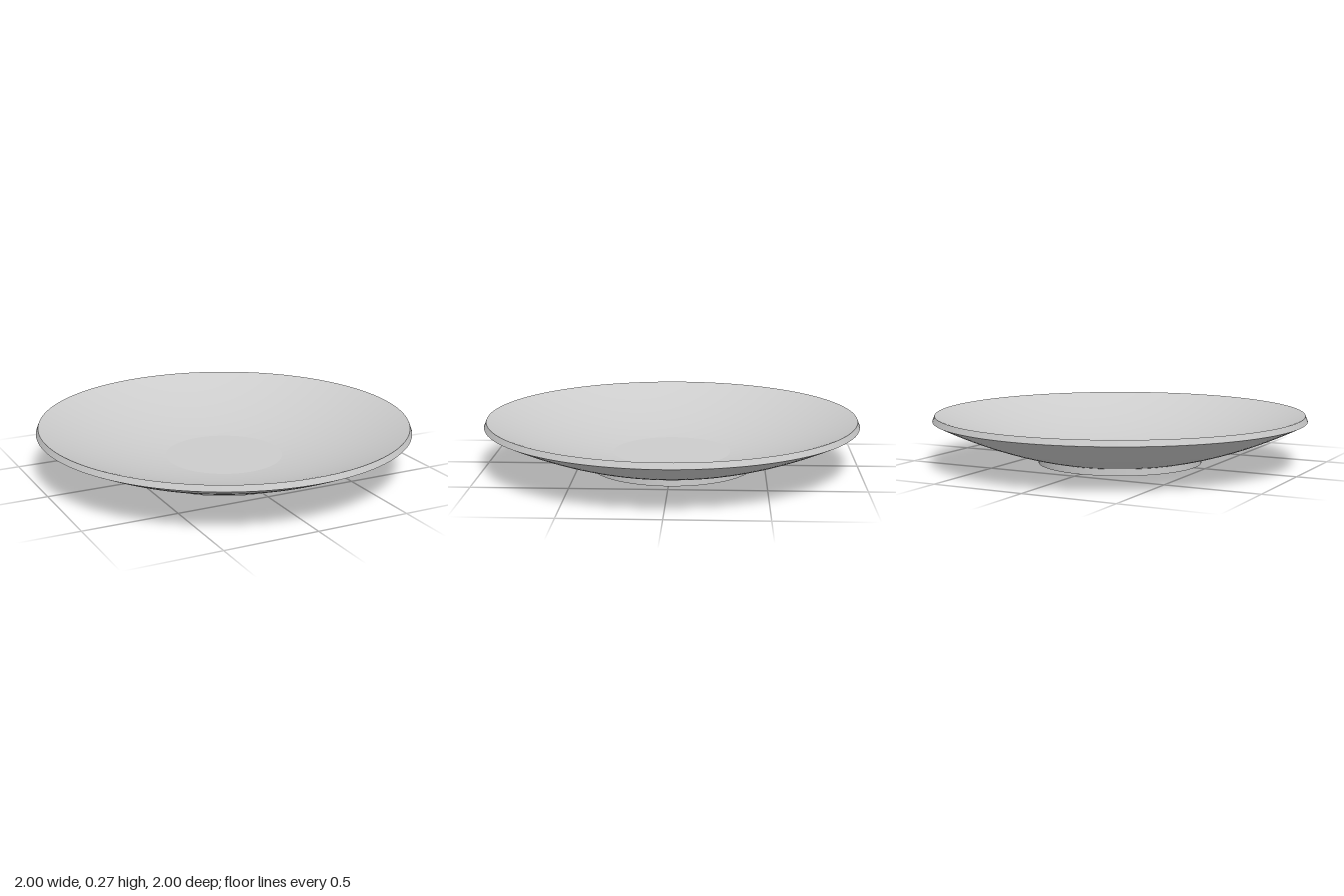
import * as THREE from 'three';

const SEGMENTS = 128;

// Shallow bowl curve between two radii, rising with the square of the radius
function bowlCurve(r0, y0, r1, y1, steps = 20) {
  const points = [];
  for (let i = 0; i <= steps; i++) {
    const r = r0 + (r1 - r0) * i / steps;
    const t = (r * r - r0 * r0) / (r1 * r1 - r0 * r0);
    points.push([r, y0 + (y1 - y0) * t]);
  }
  return points;
}

export function createModel() {
  const group = new THREE.Group();
  group.name = 'saucer';
  const ceramic = new THREE.MeshStandardMaterial({ color: 0xcccccc });
  ceramic.name = 'paleGreyCeramic';

  // Each section is its own lathe, so the edges between them stay sharp
  const add = (name, profile) => {
    const points = profile.map(([r, y]) => new THREE.Vector2(r, y));
    const mesh = new THREE.Mesh(new THREE.LatheGeometry(points, SEGMENTS), ceramic);
    mesh.name = name;
    group.add(mesh);
  };

  // Foot ring with a shallow recess underneath
  add('recessFloor', [[0, 0.018], [0.374, 0.018]]);
  add('recessWall', [[0.374, 0.018], [0.383, 0]]);
  add('footBase', [[0.383, 0], [0.44, 0]]);
  add('footWall', [[0.44, 0], [0.44, 0.035]]);

  // Outer shell, bevelled rim and inner dish
  add('underside', bowlCurve(0.44, 0.035, 1, 0.238));
  add('rim', [[1, 0.238], [0.988, 0.268]]);
  add('dish', bowlCurve(0.988, 0.268, 0.315, 0.075));
  add('dishFloor', [[0.315, 0.075], [0, 0.075]]);

  return group;
}
